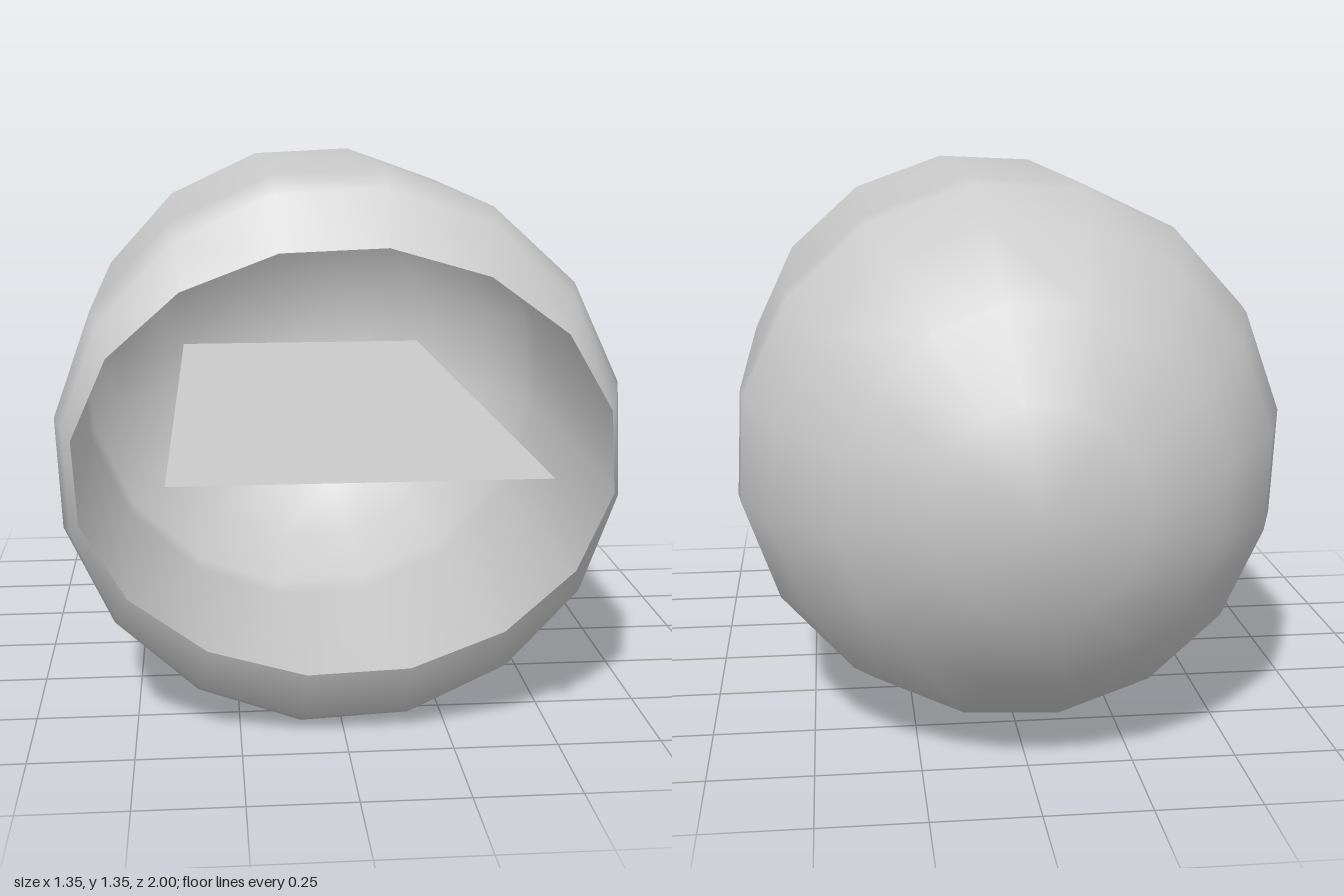
import * as THREE from 'three';
import { mergeVertices } from 'three/addons/utils/BufferGeometryUtils.js';

const CENTER_Y = 0.68;

// Round-backed shell, open at the front with a rim flattened to an oval.
function shellGeometry() {
  const R = 0.682, domeZ = -0.32;
  const profile = [];
  for (const deg of [0, 20.5, 40.5, 60.5, 80]) {
    const a = THREE.MathUtils.degToRad(deg);
    profile.push(new THREE.Vector2(R * Math.sin(a), domeZ - R * Math.cos(a) + 0.002));
  }
  profile.push(
    new THREE.Vector2(R, -0.36),
    new THREE.Vector2(R, 0.56),
    new THREE.Vector2(0.66, 0.635),
    new THREE.Vector2(0.635, 0.69)
  );
  let geo = new THREE.LatheGeometry(profile, 16, THREE.MathUtils.degToRad(14));
  geo.rotateX(Math.PI / 2);
  // squash the two front rings vertically
  const pos = geo.attributes.position;
  for (let i = 0; i < pos.count; i++) {
    const z = pos.getZ(i);
    const squash = z > 0.66 ? 0.803 : z > 0.6 ? 0.972 : 1;
    pos.setY(i, pos.getY(i) * squash);
  }
  // weld the seam so the shading stays smooth
  geo.deleteAttribute('uv');
  geo.deleteAttribute('normal');
  geo = mergeVertices(geo, 1e-4);
  geo.computeVertexNormals();
  return geo;
}

// Thin, slightly sloping tongue that reaches out of the opening.
function tongueGeometry() {
  const geo = new THREE.PlaneGeometry(1, 1);
  geo.rotateX(-Math.PI / 2);
  const pos = geo.attributes.position;
  for (let i = 0; i < pos.count; i++) {
    const front = pos.getZ(i) > 0;
    const half = front ? 0.41 : 0.385;
    pos.setXYZ(i, Math.sign(pos.getX(i)) * half, front ? 0.73 : 0.70, front ? 1 : -0.86);
  }
  geo.computeVertexNormals();
  return geo;
}

export function createModel() {
  const group = new THREE.Group();
  const material = new THREE.MeshStandardMaterial({ color: 0xcccccc, side: THREE.DoubleSide });

  const shell = new THREE.Mesh(shellGeometry(), material);
  shell.name = 'shell';
  shell.position.y = CENTER_Y;

  const tongue = new THREE.Mesh(tongueGeometry(), material);
  tongue.name = 'tongue';

  group.add(shell, tongue);
  return group;
}
